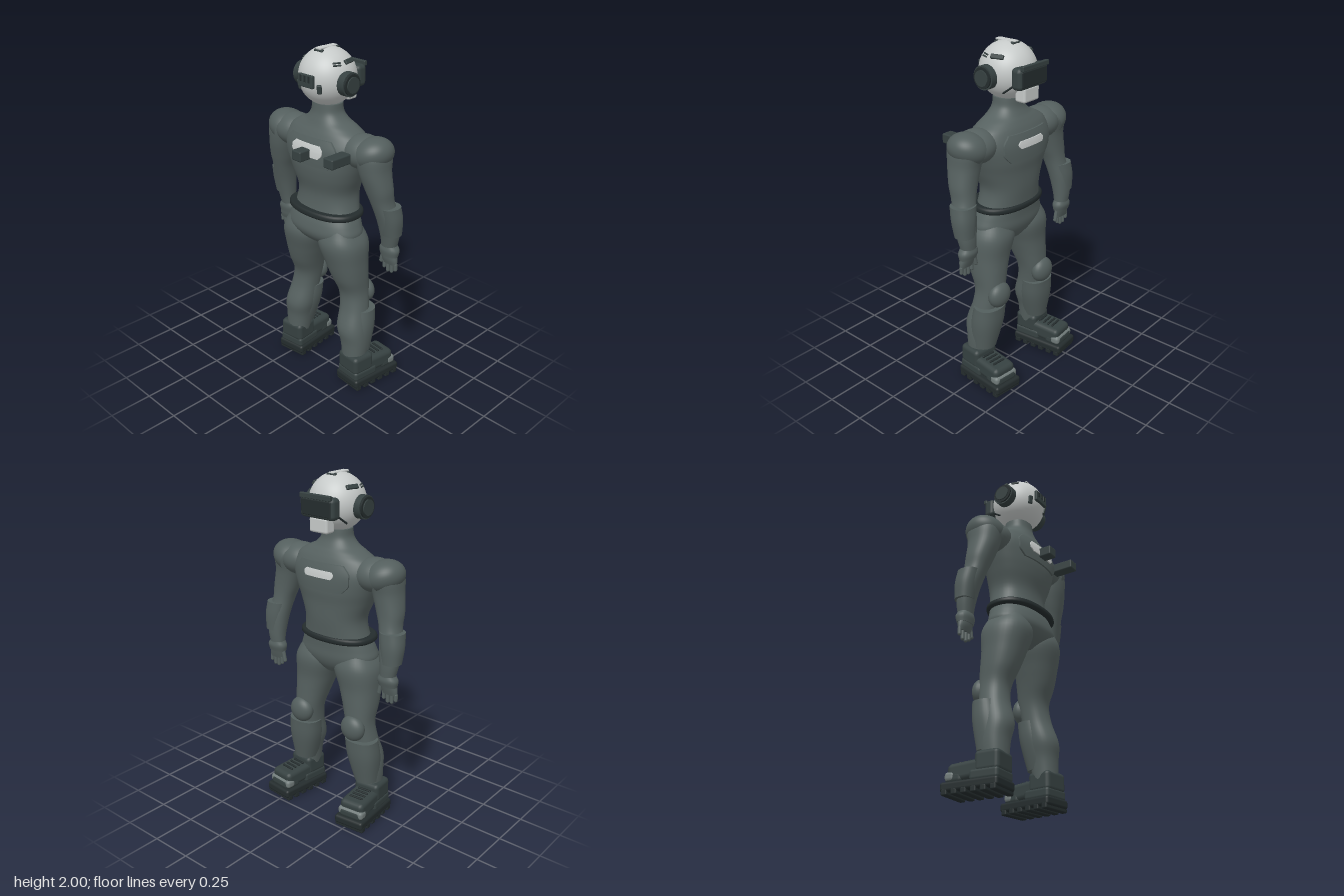
import * as THREE from 'three';
import { toCreasedNormals } from 'three/addons/utils/BufferGeometryUtils.js';
import { RoundedBoxGeometry } from 'three/addons/geometries/RoundedBoxGeometry.js';

const paint = (name, color) => Object.assign(new THREE.MeshStandardMaterial({ color }), { name });
const suit = paint('suit grey', 0x566160);
const armour = paint('armour grey', 0x535e5d);
armour.side = THREE.DoubleSide;
const dark = paint('dark gear', 0x364141);
const black = paint('rubber black', 0x242c2d);
const shell = paint('helmet shell', 0xc6cac9);
const steel = paint('toe cap grey', 0x717b7a);

const P = 2.3; // roundness of the cross-sections

// Smooth curves through sections [cx, y, cz, rx, rz]
function sectionCurve(sections) {
  const centre = new THREE.CatmullRomCurve3(sections.map(s => new THREE.Vector3(s[0], s[1], s[2])), false, 'catmullrom', 0.5);
  const size = new THREE.CatmullRomCurve3(sections.map(s => new THREE.Vector3(s[3], s[4], 0)), false, 'catmullrom', 0.5);
  return t => [centre.getPoint(t), size.getPoint(t)];
}

// Closed skin through sections listed from top to bottom
function loft(sections, sides = 36, steps = 5) {
  const at = sectionCurve(sections), n = (sections.length - 1) * steps;
  const pos = [], idx = [];
  const ring = t => {
    const [c, r] = at(t);
    for (let j = 0; j < sides; j++) {
      const a = j / sides * Math.PI * 2, x = Math.cos(a), z = Math.sin(a);
      pos.push(c.x + r.x * Math.sign(x) * Math.abs(x) ** (2 / P), c.y, c.z + r.y * Math.sign(z) * Math.abs(z) ** (2 / P));
    }
  };
  for (let i = 0; i <= n; i++) ring(i / n);
  for (let i = 0; i < n; i++) for (let j = 0; j < sides; j++) {
    const k = (j + 1) % sides, a = i * sides, b = a + sides;
    idx.push(a + j, a + k, b + j, a + k, b + k, b + j);
  }
  for (const t of [0, 1]) {
    const base = pos.length / 3, c = at(t)[0];
    ring(t);
    pos.push(c.x, c.y, c.z);
    for (let j = 0; j < sides; j++) {
      const k = (j + 1) % sides;
      idx.push(base + sides, base + (t ? j : k), base + (t ? k : j));
    }
  }
  return build(pos, idx);
}

function build(pos, idx) {
  const g = new THREE.BufferGeometry();
  g.setAttribute('position', new THREE.Float32BufferAttribute(pos, 3));
  g.setIndex(idx);
  g.computeVertexNormals();
  return g;
}

const TORSO = [
  [0, 1.70, .01, .085, .075], [0, 1.65, .01, .093, .08], [0, 1.61, .008, .13, .095], [0, 1.58, .005, .19, .11],
  [0, 1.54, .005, .25, .13], [0, 1.47, .008, .28, .155], [0, 1.38, .008, .255, .16], [0, 1.30, .008, .225, .15],
  [0, 1.20, 0, .19, .135], [0, 1.10, .01, .205, .132], [0, 1.03, .025, .235, .14], [0, .97, .03, .25, .142],
  [0, .92, .025, .19, .12], [0, .87, .01, .06, .07]];
const torsoCurve = sectionCurve(TORSO);

// Depth of the torso skin at x, y on the +z or -z side
function torsoZ(x, y, side) {
  let lo = 0, hi = 1;
  for (let i = 0; i < 24; i++) {
    const m = (lo + hi) / 2;
    if (torsoCurve(m)[0].y > y) lo = m; else hi = m;
  }
  const [c, r] = torsoCurve(lo);
  return c.z + side * r.y * Math.max(0, 1 - Math.abs(x / r.x) ** P) ** (1 / P);
}

// Chamfered plate wrapped on the torso
function torsoPlate(side, y0, y1, w, chamfer, offset) {
  const nu = 24, nv = 12, pos = [], idx = [];
  for (let i = 0; i <= nv; i++) for (let j = 0; j <= nu; j++) {
    const edge = i === 0 || j === 0 || i === nv || j === nu;
    const v = THREE.MathUtils.clamp((i - 1) / (nv - 2), 0, 1), u = THREE.MathUtils.clamp((j - 1) / (nu - 2), 0, 1) * 2 - 1;
    const y = y0 + (y1 - y0) * v;
    const x = side * u * (w - Math.max(0, chamfer - Math.min(y - y0, y1 - y)));
    pos.push(x, y, torsoZ(x, y, side) + side * (edge ? -.006 : offset));
  }
  for (let i = 0; i < nv; i++) for (let j = 0; j < nu; j++) {
    const a = i * (nu + 1) + j, b = a + nu + 1;
    idx.push(a, a + 1, b, a + 1, b + 1, b);
  }
  return toCreasedNormals(build(pos, idx), .7);
}

function add(parent, name, geometry, material, x = 0, y = 0, z = 0) {
  const m = new THREE.Mesh(geometry, material);
  m.name = name;
  m.position.set(x, y, z);
  parent.add(m);
  return m;
}
const box = (w, h, d, r = .008) => new RoundedBoxGeometry(w, h, d, 2, Math.min(r, w / 2.1, h / 2.1, d / 2.1));
const side = (s, sections) => sections.map(([x, ...rest]) => [x * s, ...rest]);

function makeHead() {
  const head = new THREE.Group();
  head.name = 'head';
  head.position.set(0, 1.84, .01);
  add(head, 'helmet', new THREE.SphereGeometry(.158, 48, 32), shell);
  // Small fitting turned to face outward from the helmet
  const fit = (name, mat, w, h, d, x, y, z, roll = 0) => {
    const m = new THREE.Mesh(box(w, h, d, .005), mat), dir = new THREE.Vector3(x, y, z).normalize();
    m.name = name;
    m.position.copy(dir).multiplyScalar(.158);
    m.lookAt(dir.multiplyScalar(2));
    m.rotateZ(roll);
    head.add(m);
  };
  // Goggles and jaw
  add(head, 'visorFrame', box(.235, .12, .07, .025), dark, 0, -.01, -.147);
  add(head, 'visorLens', box(.2, .085, .012, .005), black, 0, -.01, -.18);
  add(head, 'visorBrow', box(.21, .028, .022, .005), dark, 0, .05, -.182);
  add(head, 'jawGuard', box(.125, .085, .07, .014), shell, 0, -.105, -.132);
  // Rear vent
  fit('rearVent', dark, .11, .068, .02, 0, .01, 1);
  for (const x of [-.03, 0, .03]) add(head, 'rearVentSlot', box(.016, .035, .006, .002), black, x, .014, .167);
  // Crown strip
  add(head, 'crownStrip', box(.038, .012, .13, .004), shell, 0, .154, .008);
  for (const z of [-.05, .066]) fit('crownStripCap', dark, .06, .02, .012, 0, .148, z);
  for (const s of [-1, 1]) {
    for (const [r, d, x, mat] of [[.065, .045, .165, dark], [.057, .016, .188, black], [.043, .016, .195, dark]]) {
      const ear = add(head, 'earpiece', new THREE.CylinderGeometry(r, r, d, 32), mat, s * x, -.012, .012);
      ear.rotation.z = Math.PI / 2;
    }
    fit('sideVent', dark, .075, .026, .016, s * .125, .095, -.032);
    for (const y of [.085, .102]) fit('sideSlot', dark, .045, .009, .012, s * .125, y, .055);
    fit('rearLatch', dark, .026, .05, .018, s * .075, -.035, .135);
    fit('cheekSlot', black, .075, .011, .01, s * .12, -.085, -.1, s * .75);
  }
  return head;
}

function makeBoot(s) {
  const boot = new THREE.Group();
  boot.name = 'boot';
  boot.position.set(s * .262, 0, -.068);
  boot.rotation.y = -s * .1;
  add(boot, 'sole', box(.188, .052, .34, .016), black, 0, .044, 0);
  for (let i = 0; i < 6; i++) add(boot, 'soleLug', box(.188, .034, .036, .008), black, 0, .017, -.142 + i * .057);
  add(boot, 'bootHeel', box(.168, .06, .17, .018), dark, 0, .09, .08);
  add(boot, 'bootCollar', box(.162, .115, .145, .025), dark, 0, .158, .094);
  const vamp = add(boot, 'bootUpper', box(.155, .1, .22, .028), dark, 0, .122, -.03);
  vamp.rotation.x = -.06;
  add(boot, 'toe', box(.158, .065, .11, .026), dark, 0, .092, -.1);
  add(boot, 'toeCap', box(.166, .052, .062, .02), steel, 0, .098, -.122);
  for (let i = 0; i < 4; i++) add(boot, 'lace', box(.085, .01, .013, .004), black, 0, .178 - i * .002, .01 - i * .03);
  return boot;
}

function makeArm(s) {
  const arm = new THREE.Group();
  arm.name = s > 0 ? 'leftArm' : 'rightArm';
  add(arm, 'deltoid', new THREE.SphereGeometry(1, 32, 20), suit, s * .265, 1.48, .005).scale.set(.125, .094, .11);
  add(arm, 'armSleeve', loft(side(s, [
    [.31, 1.56, .005, .05, .05], [.335, 1.5, .005, .09, .1], [.352, 1.4, .01, .083, .09], [.375, 1.3, 0, .075, .075],
    [.39, 1.22, -.015, .062, .065], [.412, 1.12, -.04, .064, .06], [.415, 1.02, -.055, .054, .048], [.41, .95, -.06, .045, .038]])), suit);
  // Shoulder cap
  const cap = add(arm, 'shoulderPad', new THREE.SphereGeometry(1, 36, 16, 0, Math.PI * 2, 0, Math.PI * .52), armour, s * .325, 1.483, .002);
  cap.rotation.z = -s * 1.2;
  cap.scale.set(.09, .12, .115);
  add(arm, 'forearmGuard', loft(side(s, [
    [.414, 1.2, -.032, .07, .066], [.425, 1.12, -.045, .067, .062], [.428, 1.03, -.054, .056, .052]])), armour);
  // Glove
  add(arm, 'gloveCuff', loft(side(s, [[.41, .958, -.06, .048, .038], [.412, .93, -.06, .062, .042], [.413, .895, -.058, .056, .034]]), 24), suit);
  add(arm, 'palm', loft(side(s, [[.413, .91, -.057, .052, .03], [.42, .875, -.055, .052, .023], [.424, .845, -.055, .048, .014]]), 24), suit);
  for (let i = 0; i < 4; i++) {
    const len = [.035, .05, .048, .03][i];
    add(arm, 'finger', new THREE.CapsuleGeometry(.011, len, 4, 10), suit, s * (.383 + i * .027), .85 - len / 2, -.055);
  }
  const thumb = add(arm, 'thumb', new THREE.CapsuleGeometry(.012, .06, 4, 10), suit, s * .361, .868, -.06);
  thumb.rotation.z = -s * .2;
  return arm;
}

function makeLeg(s) {
  const leg = new THREE.Group();
  leg.name = s > 0 ? 'leftLeg' : 'rightLeg';
  add(leg, 'trouserLeg', loft(side(s, [
    [.14, 1.01, .03, .09, .11], [.142, .92, .028, .136, .14], [.162, .8, .02, .118, .12], [.178, .7, .005, .1, .105],
    [.19, .6, -.015, .083, .085], [.205, .5, -.005, .083, .08], [.22, .38, .02, .09, .09], [.235, .28, .02, .08, .078], [.24, .15, .03, .066, .062]])), suit);
  add(leg, 'kneePad', new THREE.SphereGeometry(1, 28, 18), armour, s * .195, .575, -.09).scale.set(.078, .077, .052);
  add(leg, 'shinGuard', loft(side(s, [
    [.215, .495, -.035, .1, .078], [.224, .38, -.02, .098, .085], [.238, .225, 0, .07, .075]])), armour);
  leg.add(makeBoot(s));
  return leg;
}

export function createModel() {
  const model = new THREE.Group();
  model.name = 'armouredFigure';
  add(model, 'torso', loft(TORSO, 48), suit);
  add(model, 'belt', loft([[0, 1.106, .022, .226, .148], [0, 1.098, .022, .236, .156], [0, 1.08, .023, .238, .157], [0, 1.07, .023, .228, .149]], 48, 3), black);
  // Chest and back panels with light inlays
  for (const z of [-1, 1]) add(model, z < 0 ? 'chestPanel' : 'backPanel', torsoPlate(z, 1.38, 1.53, .185, .04, .01), armour);
  add(model, 'chestStrip', torsoPlate(-1, 1.452, 1.492, .1, .014, .016), shell);
  add(model, 'backInlay', torsoPlate(1, 1.43, 1.5, .112, .022, .016), shell);
  // Rear equipment blocks
  add(model, 'rearModule', box(.068, .058, .1), dark, 0, 1.446, .2);
  add(model, 'sideModule', box(.068, .056, .14), dark, .24, 1.468, .18);
  model.add(makeHead());
  for (const s of [-1, 1]) model.add(makeArm(s), makeLeg(s));
  return model;
}
